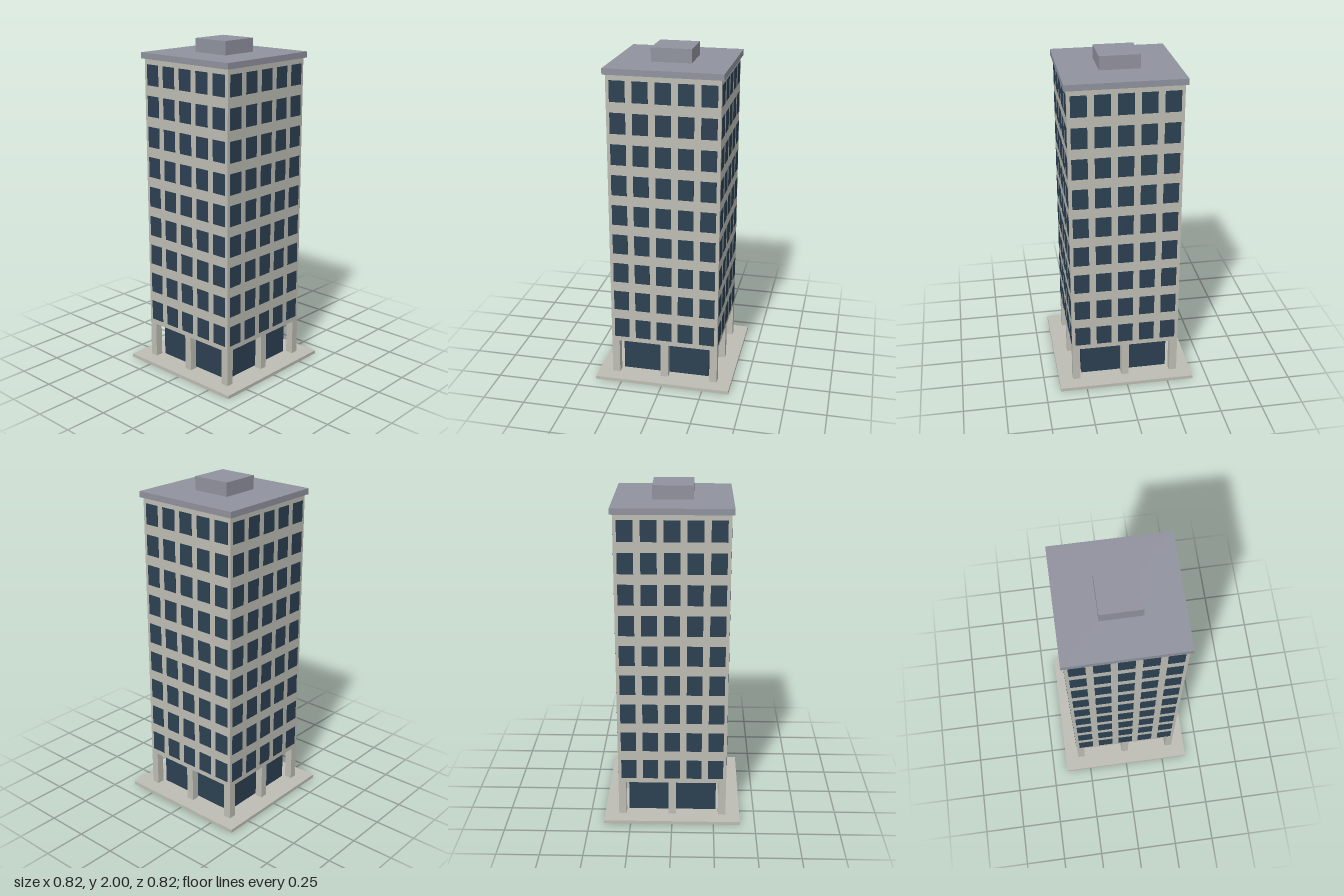
import * as THREE from 'three';
import { mergeGeometries } from 'three/addons/utils/BufferGeometryUtils.js';

const material = (name, color) => {
  const m = new THREE.MeshStandardMaterial({ color });
  m.name = name;
  return m;
};

export function createModel() {
  const concrete = material('concrete', 0xbdbdb5);
  const roofGrey = material('roofGrey', 0x90929e);
  const glass = material('glass', 0x2c4052);

  const model = new THREE.Group();
  model.name = 'officeTower';

  // Square block centred on the y axis, or offset in x and z
  const block = (name, width, y0, y1, mat, x = 0, z = 0) => {
    const mesh = new THREE.Mesh(new THREE.BoxGeometry(width, y1 - y0, width), mat);
    mesh.position.set(x, (y0 + y1) / 2, z);
    mesh.name = name;
    model.add(mesh);
  };

  const half = 0.325, floorY = 0.02, bodyY = 0.237, roofY = 1.885;

  block('baseSlab', 0.82, 0, floorY, concrete);
  block('lobbyGlass', 0.53, floorY, bodyY, glass);
  block('towerBody', half * 2, bodyY, roofY, concrete);
  block('roofSlab', 0.68, roofY, 1.92, roofGrey);
  block('roofPlantRoom', 0.234, 1.92, 2, roofGrey);

  // Columns at the corners and the middle of each side
  const columnWidth = 0.046, columnAt = half - columnWidth / 2;
  for (const i of [-1, 0, 1]) {
    for (const j of [-1, 0, 1]) {
      if (i || j) block('column', columnWidth, floorY, bodyY, concrete, i * columnAt, j * columnAt);
    }
  }

  // One side's grid of window plates, repeated on all four sides
  const plates = [];
  for (let row = 0; row < 9; row++) {
    for (let col = -2; col <= 2; col++) {
      plates.push(new THREE.BoxGeometry(0.091, 0.122, 0.004)
        .translate(col * 0.13, 0.328 + row * 0.183, half));
    }
  }
  const windowGrid = mergeGeometries(plates);
  ['front', 'left', 'back', 'right'].forEach((side, i) => {
    const windows = new THREE.Mesh(windowGrid, glass);
    windows.rotation.y = i * Math.PI / 2;
    windows.name = side + 'Windows';
    model.add(windows);
  });

  return model;
}
